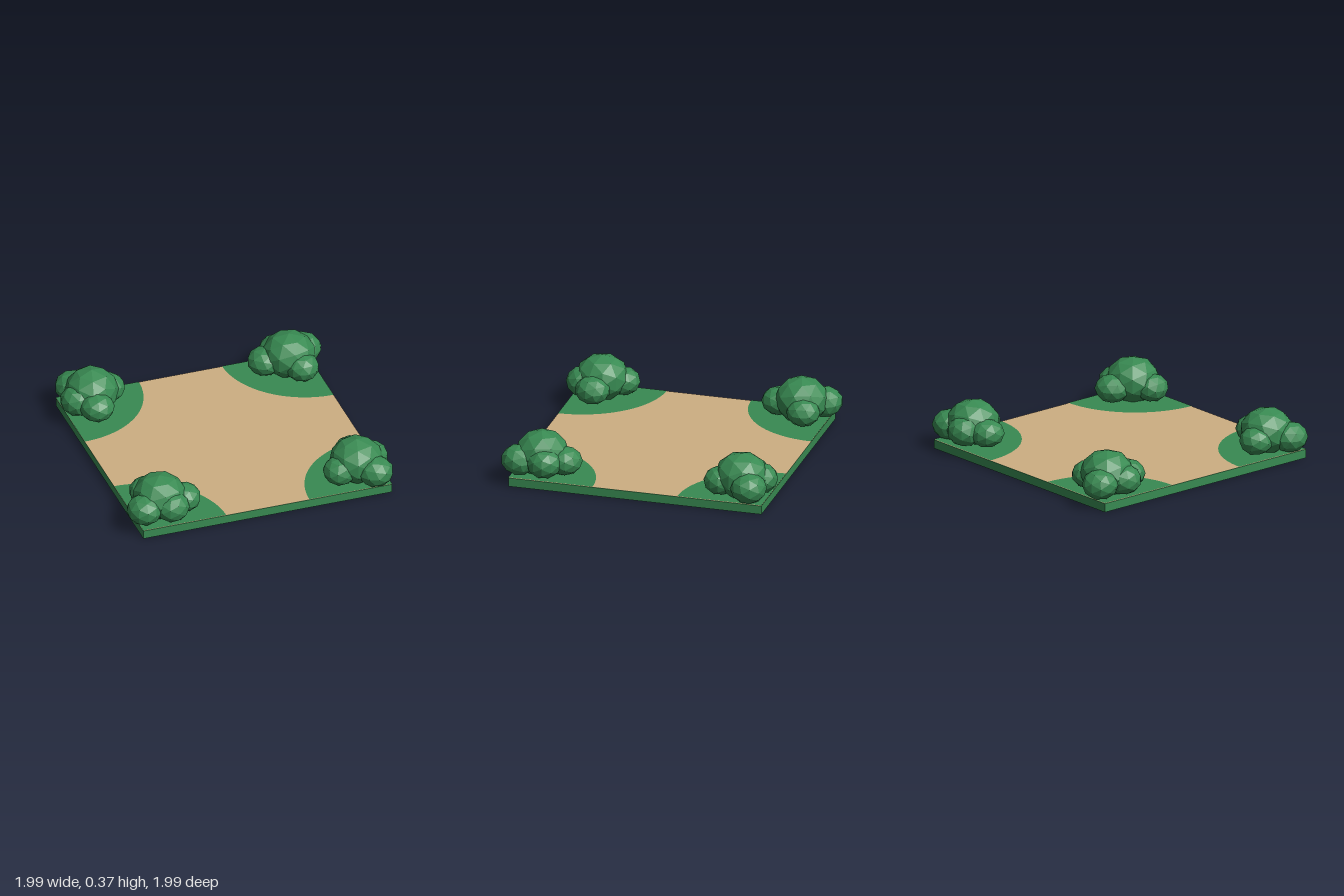
import * as THREE from 'three';

const HALF = 0.917;   // half width of the square slab
const TOP = 0.063;    // slab height
const LAWN_R = 0.61;  // radius of each corner lawn

// Bush lobes of one corner: x, y, z, horizontal radius, vertical radius, turn
const LOBES = [
  [0.72, 0.20, 0.73, 0.19, 0.165, 0.3],
  [0.81, 0.167, 0.87, 0.128, 0.108, 0.9],
  [0.84, 0.172, 0.68, 0.125, 0.108, 1.7],
  [0.74, 0.165, 0.56, 0.125, 0.1, 2.4],
  [0.58, 0.165, 0.78, 0.12, 0.1, 0.1],
];

export function createModel() {
  const green = new THREE.MeshStandardMaterial({ color: 0x388a52 });
  green.name = 'leaf green';
  green.flatShading = true;
  const sand = new THREE.MeshStandardMaterial({ color: 0xcdae82 });
  sand.name = 'sand';

  const model = new THREE.Group();
  model.name = 'gardenTile';
  const add = (parent, name, geometry, material) => {
    const mesh = new THREE.Mesh(geometry, material);
    mesh.name = name;
    parent.add(mesh);
    return mesh;
  };

  // Square slab
  add(model, 'slab', new THREE.BoxGeometry(HALF * 2, TOP, HALF * 2), green).position.y = TOP / 2;

  // Sandy ground covering the slab
  const ground = add(model, 'sandGround', new THREE.PlaneGeometry(HALF * 2, HALF * 2), sand);
  ground.rotation.x = -Math.PI / 2;
  ground.position.y = TOP + 0.002;

  // Four corners, each a quarter turn of the first
  const leaf = new THREE.IcosahedronGeometry(1, 1);
  for (let i = 0; i < 4; i++) {
    const corner = new THREE.Group();
    corner.name = 'corner' + (i + 1);
    corner.rotation.y = i * Math.PI / 2;
    model.add(corner);

    // Quarter disc of lawn, centred on the slab corner
    const lawn = add(corner, 'lawn', new THREE.CircleGeometry(LAWN_R, 24, Math.PI / 2, Math.PI / 2), green);
    lawn.rotation.x = -Math.PI / 2;
    lawn.position.set(HALF, TOP + 0.005, HALF);

    // Bush made of one large and four small faceted lobes
    const bush = new THREE.Group();
    bush.name = 'bush';
    corner.add(bush);
    LOBES.forEach(([x, y, z, r, h, turn], n) => {
      const lobe = add(bush, n ? 'smallLobe' + n : 'mainLobe', leaf, green);
      lobe.position.set(x, y, z);
      lobe.scale.set(r, h, r);
      lobe.rotation.y = turn;
    });
  }
  return model;
}
